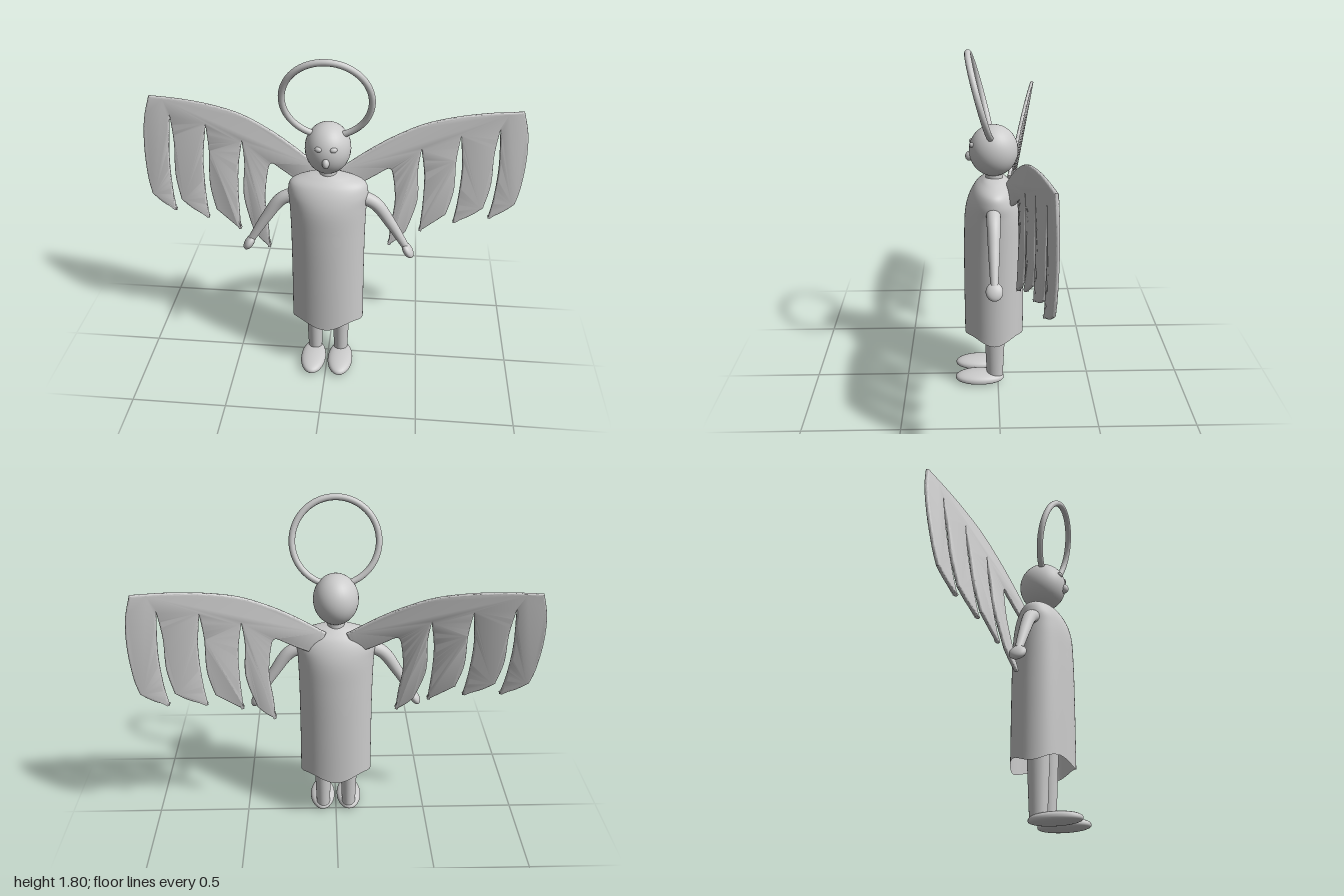
import * as THREE from 'three';
import { mergeVertices, toCreasedNormals } from 'three/addons/utils/BufferGeometryUtils.js';

const grey = new THREE.MeshStandardMaterial({ color: 0xcccccc });
const greyOpen = new THREE.MeshStandardMaterial({ color: 0xcccccc, side: THREE.DoubleSide });

function add(parent, name, geometry, material = grey) {
  const mesh = new THREE.Mesh(geometry, material);
  mesh.name = name;
  parent.add(mesh);
  return mesh;
}

function ellipsoid(parent, name, position, radii) {
  const mesh = add(parent, name, new THREE.SphereGeometry(1, 32, 24));
  mesh.position.set(...position);
  mesh.scale.set(...radii);
  return mesh;
}

// Oval gown: profile of [half width, height, half depth], with a wavy open hem
function robeGeometry() {
  const profile = new THREE.CatmullRomCurve3([
    [0.193, 0.3, 0.157], [0.191, 0.6, 0.157], [0.192, 0.85, 0.154], [0.197, 1.0, 0.145],
    [0.203, 1.07, 0.125], [0.188, 1.118, 0.098], [0.115, 1.153, 0.06], [0.04, 1.17, 0.034],
  ].map((p) => new THREE.Vector3(...p)));
  const geo = new THREE.CylinderGeometry(1, 1, 1, 64, 56, true);
  geo.deleteAttribute('uv');
  const pos = geo.attributes.position;
  for (let i = 0; i < pos.count; i++) {
    const x = pos.getX(i), z = pos.getZ(i);
    const p = profile.getPoint(THREE.MathUtils.clamp(pos.getY(i) + 0.5, 0, 1));
    const fade = Math.max(0, 1 - (p.y - 0.3) / 0.2);
    const wave = -0.016 * Math.cos(4 * Math.atan2(x, z)) * fade;
    pos.setXYZ(i, x * p.x, p.y + wave, 0.02 + z * p.z);
  }
  geo.deleteAttribute('normal');
  const merged = mergeVertices(geo);
  merged.computeVertexNormals();
  return merged;
}

// Tube along a curve that narrows to the wrist
function armGeometry(side) {
  const curve = new THREE.CatmullRomCurve3(
    [[0.16, 1.045], [0.24, 1.005], [0.32, 0.895], [0.405, 0.755]]
      .map(([x, y]) => new THREE.Vector3(side * x, y, 0.025)));
  const steps = 24, sides = 20;
  const geo = new THREE.TubeGeometry(curve, steps, 1, sides);
  const pos = geo.attributes.position;
  const v = new THREE.Vector3();
  for (let i = 0; i < pos.count; i++) {
    const t = Math.floor(i / (sides + 1)) / steps;
    const centre = curve.getPointAt(t);
    const r = THREE.MathUtils.lerp(0.036, 0.019, t ** 1.4);
    v.fromBufferAttribute(pos, i).sub(centre).multiplyScalar(r).add(centre);
    pos.setXYZ(i, v.x, v.y, v.z);
  }
  return geo;
}

// Wing outline, each run of points is a smooth edge between two corners
function wingShape() {
  const shape = new THREE.Shape();
  shape.moveTo(0.05, 1.155);
  const edges = [
    [[0.2, 1.257], [0.33, 1.33], [0.47, 1.388], [0.63, 1.42], [0.79, 1.434], [0.957, 1.436]],
    [[0.99, 1.31], [1.0, 1.16], [0.99, 1.0], [0.97, 0.905]],
    [[0.91, 0.86], [0.835, 0.825]],
    [[0.853, 0.945], [0.861, 1.13], [0.846, 1.34]],
    [[0.831, 1.2], [0.832, 1.03], [0.805, 0.89]],
    [[0.74, 0.845], [0.65, 0.805]],
    [[0.666, 0.945], [0.672, 1.13], [0.653, 1.31]],
    [[0.64, 1.18], [0.641, 1.0], [0.61, 0.86]],
    [[0.55, 0.815], [0.475, 0.76]],
    [[0.484, 0.94], [0.482, 1.1], [0.46, 1.245]],
    [[0.449, 1.13], [0.455, 0.95], [0.405, 0.765]],
    [[0.365, 0.72], [0.315, 0.68]],
    [[0.322, 0.8], [0.338, 0.95], [0.325, 1.09], [0.303, 1.145], [0.245, 1.117], [0.19, 1.085], [0.1, 1.04]],
  ];
  for (const edge of edges) shape.splineThru(edge.map(([x, y]) => new THREE.Vector2(x, y)));
  shape.closePath();
  return shape;
}

// Thin rounded slab, sheared so the wing sweeps back; the right one also leans
function wingGeometry(side) {
  const geo = new THREE.ExtrudeGeometry(wingShape(), {
    depth: 0.004, curveSegments: 20, bevelEnabled: true,
    bevelThickness: 0.008, bevelSize: 0.01, bevelOffset: -0.01, bevelSegments: 4,
  });
  const pos = geo.attributes.position;
  for (let i = 0; i < pos.count; i++) {
    const x = pos.getX(i), y = pos.getY(i), t = side * (pos.getZ(i) - 0.002);
    const plane = side > 0 ? -0.042 - 0.168 * x : -0.103 - 0.134 * x + 0.17 * (1.44 - y);
    pos.setXYZ(i, side * x, y, plane + t);
  }
  return toCreasedNormals(geo, 0.6);
}

// Shoe: ellipsoid with a flatter sole and a lower heel
function footGeometry() {
  const geo = new THREE.SphereGeometry(1, 32, 24);
  const pos = geo.attributes.position;
  for (let i = 0; i < pos.count; i++) {
    const x = pos.getX(i), y = pos.getY(i), z = pos.getZ(i);
    const h = Math.sign(y) * Math.abs(y) ** 0.8;
    pos.setXYZ(i, x * 0.069, 0.026 + h * (y > 0 ? 0.036 : 0.026), 0.1 + z * 0.133);
  }
  geo.computeVertexNormals();
  return geo;
}

export function createModel() {
  const model = new THREE.Group();
  model.name = 'angel';

  add(model, 'robe', robeGeometry(), greyOpen);
  const neck = add(model, 'neck', new THREE.CylinderGeometry(0.042, 0.046, 0.1, 32));
  neck.position.set(0, 1.16, 0.018);

  // Head and face
  ellipsoid(model, 'head', [0, 1.306, 0.02], [0.114, 0.13, 0.123]);
  const nose = ellipsoid(model, 'nose', [0, 1.278, 0.138], [0.018, 0.026, 0.024]);
  nose.rotation.x = -0.3;

  // Halo leaning forward from the back of the head
  const halo = add(model, 'halo', new THREE.TorusGeometry(0.212, 0.016, 16, 80));
  halo.position.set(0, 1.58, 0.088);
  halo.rotation.x = 0.26;

  for (const side of [1, -1]) {
    const label = side > 0 ? 'left' : 'right';

    const eye = ellipsoid(model, label + 'Eye', [side * 0.037, 1.345, 0.128], [0.018, 0.013, 0.012]);
    eye.rotation.set(-0.3, side * 0.3, side * 0.15);

    add(model, label + 'Arm', armGeometry(side));
    const hand = ellipsoid(model, label + 'Hand', [side * 0.418, 0.731, 0.025], [0.024, 0.046, 0.042]);
    hand.rotation.z = side * 0.57;

    // Leg tapers to the ankle and reaches up inside the robe
    const leg = add(model, label + 'Leg', new THREE.CylinderGeometry(0.052, 0.037, 0.42, 32));
    leg.position.set(side * 0.072, 0.24, 0.017);
    leg.scale.z = 1.18;

    const foot = add(model, label + 'Foot', footGeometry());
    foot.position.x = side * 0.075;

    add(model, label + 'Wing', wingGeometry(side), greyOpen);
  }
  return model;
}
